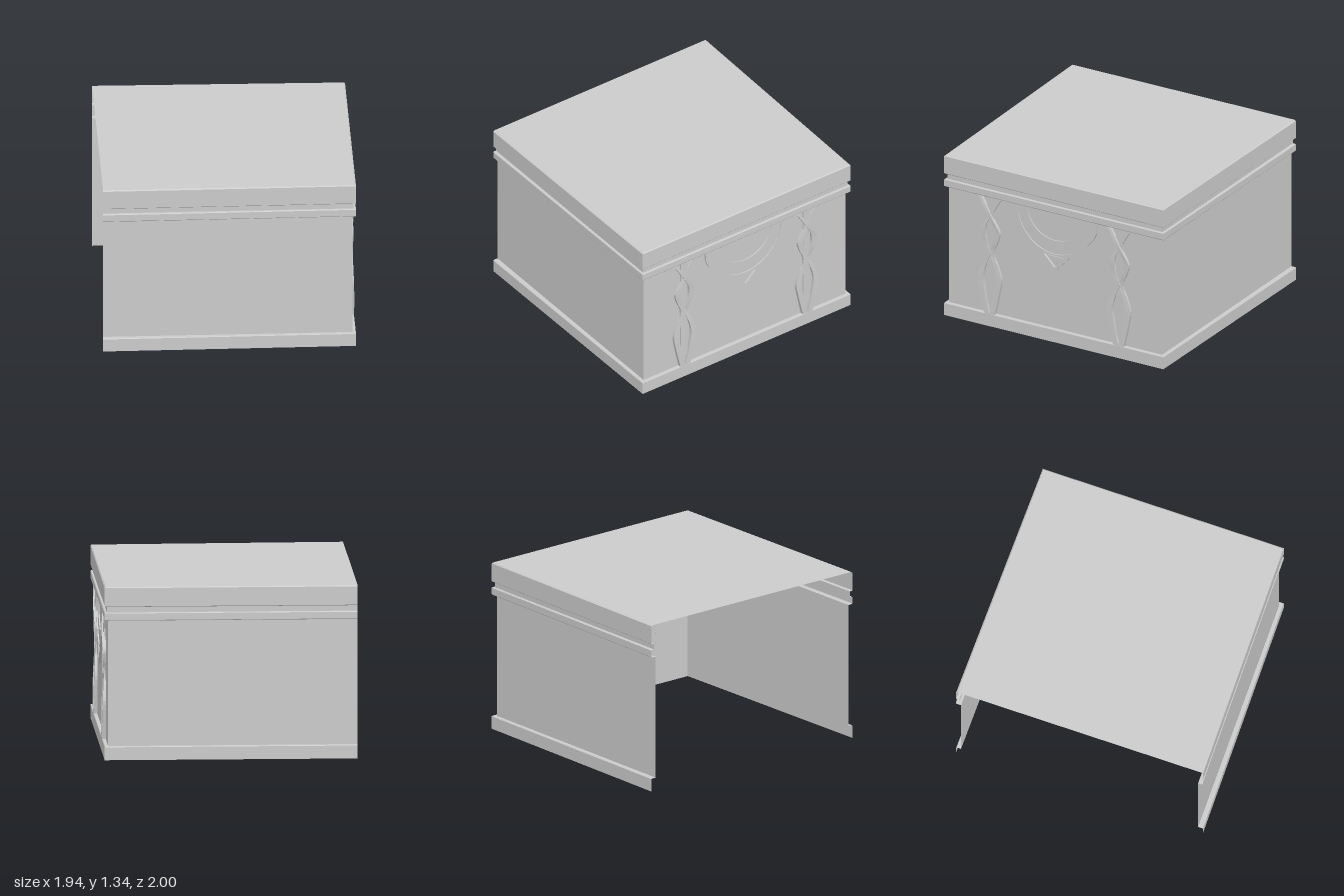
import * as THREE from 'three';

const material = new THREE.MeshStandardMaterial({ color: 0xcccccc, side: THREE.DoubleSide });
const WALL_X = 0.937;

function addMesh(parent, name, geometry) {
  const mesh = new THREE.Mesh(geometry, material);
  mesh.name = name;
  parent.add(mesh);
  return mesh;
}

// Ring of four corners, open on the -x side and slightly tapered, inset by d
function ring(d, y) {
  const xEnd = 0.965 - d, zBack = 1 - 1.4 * d, zFront = 0.977 - d;
  return [[-0.972, y, zBack], [xEnd, y, zFront], [xEnd, y, -zFront], [-0.972, y, -zBack]];
}

// Sweep of a stepped [inset, height] profile round three sides
function shell(profile, capped) {
  const positions = [];
  const quad = (a, b, c, d) => positions.push(...a, ...b, ...c, ...a, ...c, ...d);
  const rings = profile.map(([d, y]) => ring(d, y));
  for (let i = 0; i < rings.length - 1; i++) {
    for (let k = 0; k < 3; k++) quad(rings[i][k], rings[i][k + 1], rings[i + 1][k + 1], rings[i + 1][k]);
  }
  if (capped) quad(...rings[rings.length - 1]);
  const geometry = new THREE.BufferGeometry();
  geometry.setAttribute('position', new THREE.Float32BufferAttribute(positions, 3));
  geometry.computeVertexNormals();
  return geometry;
}

// Flat carving on the +x wall; the shape is drawn in (-z, y)
function relief(parent, name, shape, depth) {
  const geometry = new THREE.ExtrudeGeometry(shape, { depth, bevelEnabled: false });
  geometry.rotateY(Math.PI / 2).translate(WALL_X - 0.002, 0, 0);
  return addMesh(parent, name, geometry);
}

// Lower half of an ellipse hanging from the band, left to right
function hangingArc(a, b, segments = 14) {
  return Array.from({ length: segments + 1 }, (_, i) => {
    const t = Math.PI * (1 + i / segments);
    return new THREE.Vector2(a * Math.cos(t), 1.082 + b * Math.sin(t));
  });
}

// Ribbon with a rectangular section following a path over the wall
function ribbon(points, width) {
  const curve = new THREE.CatmullRomCurve3(points);
  const geometry = new THREE.BoxGeometry(1, 1, 1, 1, 28, 1).toNonIndexed();
  const pos = geometry.attributes.position;
  for (let i = 0; i < pos.count; i++) {
    const t = 0.5 - pos.getY(i);
    const p = curve.getPoint(t), tan = curve.getTangent(t);
    const len = Math.hypot(tan.y, tan.z);
    const s = pos.getZ(i) * width;
    pos.setXYZ(i,
      pos.getX(i) > 0 ? p.x : WALL_X - 0.002,
      THREE.MathUtils.clamp(p.y - (s * tan.z) / len * -Math.sign(tan.y), 0.1, 1.085),
      p.z + (s * Math.abs(tan.y)) / len);
  }
  geometry.computeVertexNormals();
  return geometry;
}

function braid(z) {
  const group = new THREE.Group();
  group.name = 'braidedPillar';
  // [height, sideways offset, relief of one strand, relief of the other]
  const path = [
    [1.1, 0.1, 0.958, 0.956], [0.93, 0, 0.967, 0.955], [0.8, 0.064, 0.96, 0.96],
    [0.7, 0.045, 0.957, 0.957], [0.61, 0.012, 0.951, 0.958], [0.53, 0.045, 0.956, 0.958],
    [0.41, 0.08, 0.962, 0.962], [0.28, 0.063, 0.965, 0.965], [0.1, 0.024, 0.966, 0.966],
  ];
  // the strands swap sides at the upper crossing
  [1, -1].forEach((side, k) => {
    const points = path.map(([y, off, a, b], i) =>
      new THREE.Vector3(k ? b : a, y, z + (i < 2 ? side : -side) * off));
    addMesh(group, 'strand', ribbon(points, 0.047));
  });
  // straight core behind the strands
  const core = new THREE.BoxGeometry(0.014, 0.9, 0.062);
  addMesh(group, 'core', core).position.set(WALL_X + 0.005, 0.632, z);
  return group;
}

export function createModel() {
  const model = new THREE.Group();
  model.name = 'chest';

  // Walls with plinth, and the band and lid above
  addMesh(model, 'plinth', shell([[0, 0], [0, 0.1], [0.004, 0.105], [0.028, 0.105]]));
  addMesh(model, 'walls', shell([[0.028, 0.105], [0.028, 1.082]]));
  addMesh(model, 'band', shell([[0.028, 1.082], [0.003, 1.082], [0, 1.087], [0, 1.138], [0.005, 1.143], [0.018, 1.143], [0.018, 1.188]]));
  addMesh(model, 'lid', shell([[0.018, 1.188], [0.004, 1.188], [0, 1.193], [0, 1.335], [0.008, 1.343]], true));

  // Two woven pillars
  for (const z of [0.575, -0.575]) model.add(braid(z));

  // Pendant arch drawn down to a point, with a triangular opening
  const half = [[0.38, 1.082], [0.372, 0.99], [0.345, 0.93], [0.28, 0.855], [0.21, 0.79], [0.14, 0.737]];
  const outline = [
    ...half.map(([u, v]) => new THREE.Vector2(-u, v)),
    new THREE.Vector2(0, 0.585),
    ...half.slice().reverse().map(([u, v]) => new THREE.Vector2(u, v)),
  ];
  const arch = new THREE.Shape([...outline, ...hangingArc(0.332, 0.348).reverse()]);
  arch.holes.push(new THREE.Path([[-0.097, 0.722], [0.097, 0.722], [0, 0.622]].map(([u, v]) => new THREE.Vector2(u, v))));
  relief(model, 'pendantArch', arch, 0.02);

  // Raised triangle floor and lower inner arch
  const triangle = new THREE.Shape([[-0.07, 0.711], [0.07, 0.711], [0, 0.64]].map(([u, v]) => new THREE.Vector2(u, v)));
  relief(model, 'pendantInset', triangle, 0.008);
  const inner = new THREE.Shape([...hangingArc(0.335, 0.35), ...hangingArc(0.247, 0.237).reverse()]);
  relief(model, 'innerArch', inner, 0.011);

  return model;
}
